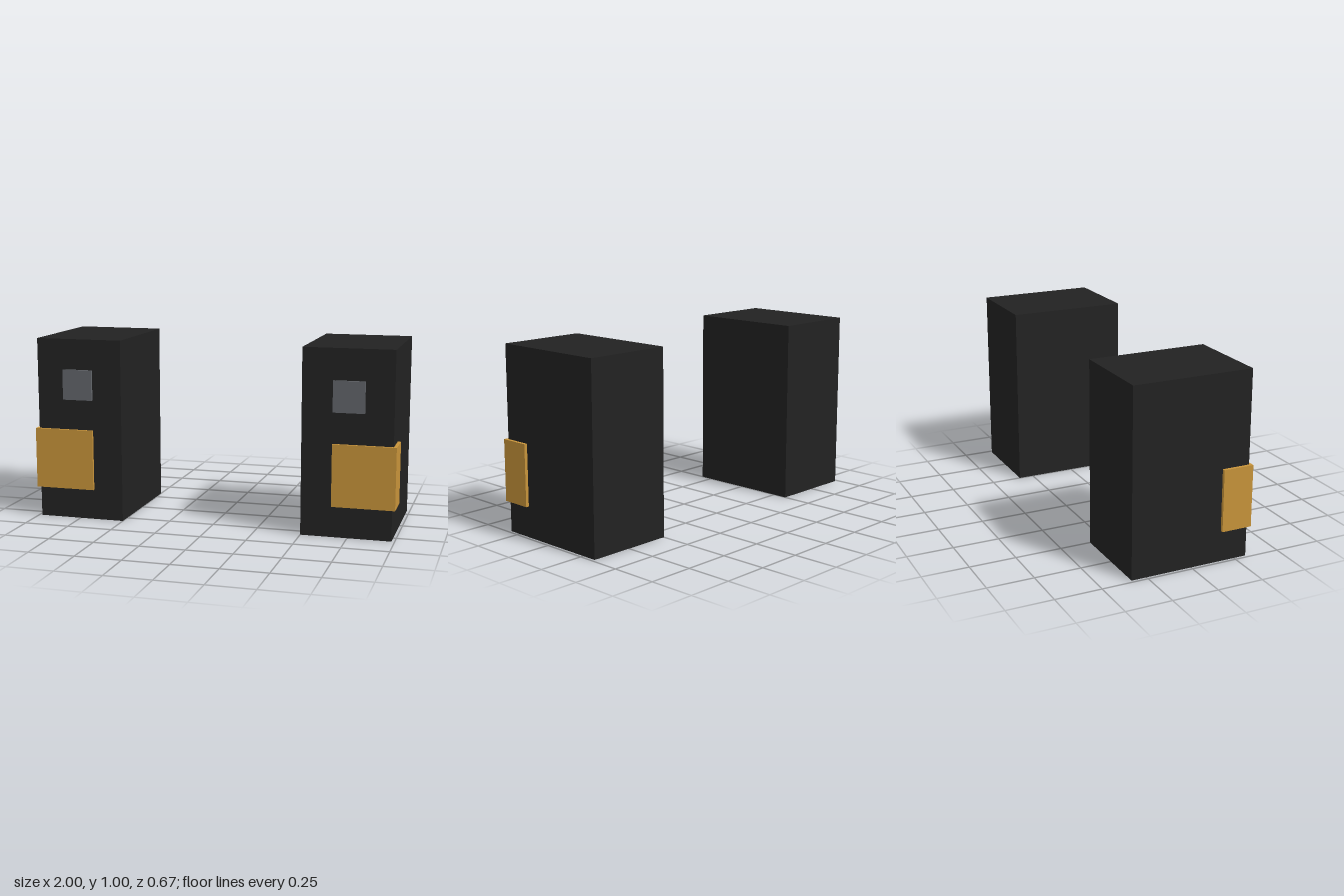
import * as THREE from 'three';

const shellMat = new THREE.MeshStandardMaterial({ color: 0x222222, side: THREE.DoubleSide });
shellMat.name = 'black shell';
const orangeMat = new THREE.MeshStandardMaterial({ color: 0xc8943a });
orangeMat.name = 'amber orange';
const greyMat = new THREE.MeshStandardMaterial({ color: 0x63666b });
greyMat.name = 'slate grey';

// Box given by its minimum and maximum corners; it may be left open underneath
function block(name, min, max, material, openBottom = false) {
  const size = max.map((v, i) => v - min[i]);
  const geometry = new THREE.BoxGeometry(...size);
  if (openBottom) {
    const index = Array.from(geometry.index.array);
    index.splice(18, 6); // the downward face
    geometry.setIndex(index);
    geometry.clearGroups();
  }
  const mesh = new THREE.Mesh(geometry, material);
  mesh.name = name;
  mesh.position.set(...max.map((v, i) => (v + min[i]) / 2));
  return mesh;
}

export function createModel() {
  const model = new THREE.Group();
  model.name = 'pairOfBoxes';

  for (const side of [1, -1]) {
    const unit = new THREE.Group();
    unit.name = side > 0 ? 'leftUnit' : 'rightUnit';
    // x range mirrored about the centre plane
    const add = (name, x0, x1, y0, y1, z0, z1, mat, open) => {
      const [a, b] = side > 0 ? [x0, x1] : [-x1, -x0];
      unit.add(block(name, [a, y0, z0], [b, y1, z1], mat, open));
    };
    // Hollow shell, open underneath
    add('shell', 0.5, 0.983, 0, 1, -0.333, 0.318, shellMat, true);
    // Corner block wrapping the outer front edge
    add('cornerBlock', 0.665, 1, 0.167, 0.5, 0.167, 0.333, orangeMat);
    // Small square on the upper front
    add('frontSquare', 0.665, 0.832, 0.667, 0.833, 0.167, 0.333, greyMat);
    model.add(unit);
  }
  return model;
}
